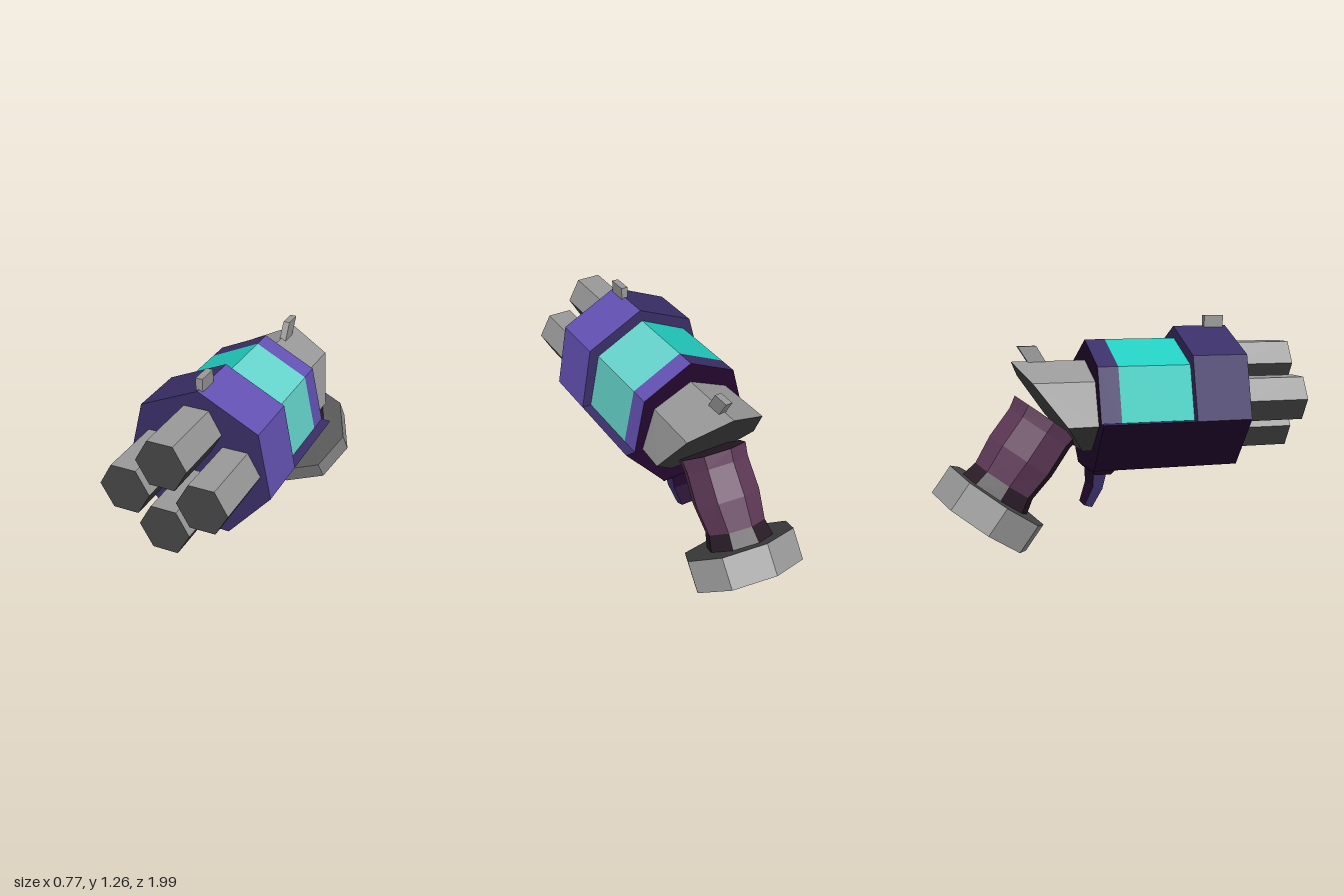
import * as THREE from 'three';

const mat = (name, color) => {
  const m = new THREE.MeshStandardMaterial({ color });
  m.name = name;
  return m;
};

// Flat-faced loft through rings of [x, y, z]; sideMat(j, i) gives the material of side j in segment i
function loft(name, rings, sideMat, startMat, endMat) {
  const buckets = new Map();
  const n = rings[0].length;
  let volume = 0;
  const tri = (m, a, b, c) => {
    if (!buckets.has(m)) buckets.set(m, []);
    buckets.get(m).push([a, b, c]);
    volume += a[0] * (b[1] * c[2] - b[2] * c[1]) + a[1] * (b[2] * c[0] - b[0] * c[2]) + a[2] * (b[0] * c[1] - b[1] * c[0]);
  };
  for (let i = 0; i < rings.length - 1; i++) {
    for (let j = 0; j < n; j++) {
      const k = (j + 1) % n, m = sideMat(j, i);
      tri(m, rings[i][j], rings[i][k], rings[i + 1][k]);
      tri(m, rings[i][j], rings[i + 1][k], rings[i + 1][j]);
    }
  }
  const first = rings[0], last = rings[rings.length - 1];
  for (let j = 1; j < n - 1; j++) {
    tri(startMat, first[0], first[j + 1], first[j]);
    tri(endMat, last[0], last[j], last[j + 1]);
  }
  const geo = new THREE.BufferGeometry(), pos = [], mats = [];
  for (const [m, tris] of buckets) {
    geo.addGroup(pos.length / 3, tris.length * 3, mats.length);
    mats.push(m);
    for (const [a, b, c] of tris) pos.push(...a, ...(volume < 0 ? [...c, ...b] : [...b, ...c]));
  }
  geo.setAttribute('position', new THREE.Float32BufferAttribute(pos, 3));
  geo.computeVertexNormals();
  const mesh = new THREE.Mesh(geo, mats);
  mesh.name = name;
  return mesh;
}

const atZ = (pts, z) => pts.map(([x, y]) => [x, y, z]);

// Side outline of [z, y] points with a half width for each, lofted across x
function plate(name, outline, halfWidth, m, x = 0) {
  const side = s => outline.map(([z, y], i) => [x + s * (Array.isArray(halfWidth) ? halfWidth[i] : halfWidth), y, z]);
  return loft(name, [side(-1), side(1)], () => m, m, m);
}

// Octagon on the tilted grip axis: t along the axis, u towards the back
function gripRing(t, rx, ru, shift = 0) {
  return Array.from({ length: 8 }, (_, j) => {
    const a = j * Math.PI / 4, u = shift + ru * Math.cos(a);
    return [rx * Math.sin(a), 0.71 - 0.81 * t + 0.58 * u, -0.38 - 0.58 * t - 0.81 * u];
  });
}

export function createModel() {
  const group = new THREE.Group();
  const gray = mat('gray', 0x999999);
  const darkGray = mat('dark gray', 0x464646);
  const violet = mat('light violet', 0x6452b4);
  const indigo = mat('dark violet', 0x3a2f68);
  const plum = mat('deep plum', 0x24072f);
  const teal = mat('teal', 0x22ccbf);
  const paleTeal = mat('pale teal', 0x66d6cd);
  const mauve = mat('mauve', 0x5f3958);
  const darkMauve = mat('dark mauve', 0x2a1c28);

  // Seven-sided housing: big front block
  const body = [[0.01, 1.205], [0.32, 1.045], [0.385, 0.705], [0.16, 0.445], [-0.18, 0.455], [-0.385, 0.73], [-0.3, 1.065]];
  group.add(loft('frontHousing', [atZ(body, 0.65), atZ(body, 0.345)],
    j => (j < 2 ? violet : j < 5 ? plum : indigo), indigo, indigo));

  // Lower tray running to the back
  const tray = body.slice(2, 6);
  group.add(loft('lowerHousing', [atZ(tray, 0.345), atZ(tray, -0.16)],
    j => (j < 3 ? plum : indigo), indigo, plum));

  // Slimmer rear housing with the teal band
  const rear = [[0, 1.14], [0.272, 1.0], [0.335, 0.705], [-0.335, 0.73], [-0.262, 1.015]];
  group.add(loft('rearHousing', [atZ(rear, 0.345), atZ(rear, -0.05), atZ(rear, -0.16)],
    (j, i) => (j < 2 ? (i ? violet : paleTeal) : j === 2 ? plum : i ? indigo : teal), indigo, plum));

  // Four hexagonal barrels, dark underneath
  for (const [x, y] of [[0, 0.998], [0.2, 0.817], [0, 0.645], [-0.2, 0.817]]) {
    const hex = Array.from({ length: 6 }, (_, j) => {
      const a = j * Math.PI / 3;
      return [x + 0.131 * Math.cos(a), y + 0.134 * Math.sin(a)];
    });
    group.add(loft('barrel', [atZ(hex, 1), atZ(hex, 0.62)], j => (j < 3 ? gray : darkGray), darkGray, darkGray));
  }

  // Receiver behind the housing, cut on a slant
  const half = [[0.215, 0.935], [0.288, 0.71], [0.14, 0.56]];
  const receiver = [[0, 1.03], ...half, ...half.map(([x, y]) => [-x, y]).reverse()];
  const slant = receiver.map(([x, y]) => [x * 1.03, y, -0.56 + 0.74 * (1.03 - y)]);
  group.add(loft('receiver', [atZ(receiver, -0.15), slant],
    j => (j < 2 || j > 4 ? gray : darkGray), darkGray, darkGray));

  // Sights
  group.add(plate('frontSight', [[0.63, 1.17], [0.63, 1.262], [0.52, 1.262], [0.52, 1.17]], 0.018, gray, 0.01));
  group.add(plate('rearSight', [[-0.36, 1.0], [-0.425, 1.11], [-0.525, 1.11], [-0.455, 1.0]], 0.018, gray, 0.008));

  // Trigger and its mount
  group.add(plate('triggerMount', [[-0.04, 0.455], [-0.06, 0.43], [-0.145, 0.43], [-0.16, 0.455]],
    [0.17, 0.155, 0.155, 0.17], plum));
  const triggerRing = (y, z0, z1, w) => [[w, y, z0], [-w, y, z0], [-w * 0.9, y + 0.01, z1], [w * 0.9, y + 0.01, z1]];
  group.add(loft('trigger', [
    triggerRing(0.44, -0.07, -0.14, 0.112),
    triggerRing(0.34, -0.09, -0.14, 0.095),
    triggerRing(0.235, -0.14, -0.18, 0.065),
  ], j => (j === 2 ? plum : indigo), indigo, indigo));

  // Octagonal grip, dark on the front faces and the bottom flare
  group.add(loft('grip', [
    gripRing(-0.02, 0.175, 0.215),
    gripRing(0.05, 0.168, 0.2),
    gripRing(0.23, 0.175, 0.205),
    gripRing(0.39, 0.155, 0.187),
    gripRing(0.49, 0.175, 0.212),
  ], (j, i) => (j === 3 || j === 4 || i === 3 ? darkMauve : mauve), darkMauve, darkMauve));

  // Wide octagonal foot of the grip
  group.add(loft('gripFoot', [gripRing(0.475, 0.305, 0.305, -0.015), gripRing(0.645, 0.305, 0.305, -0.015)],
    () => gray, darkGray, darkGray));

  return group;
}
